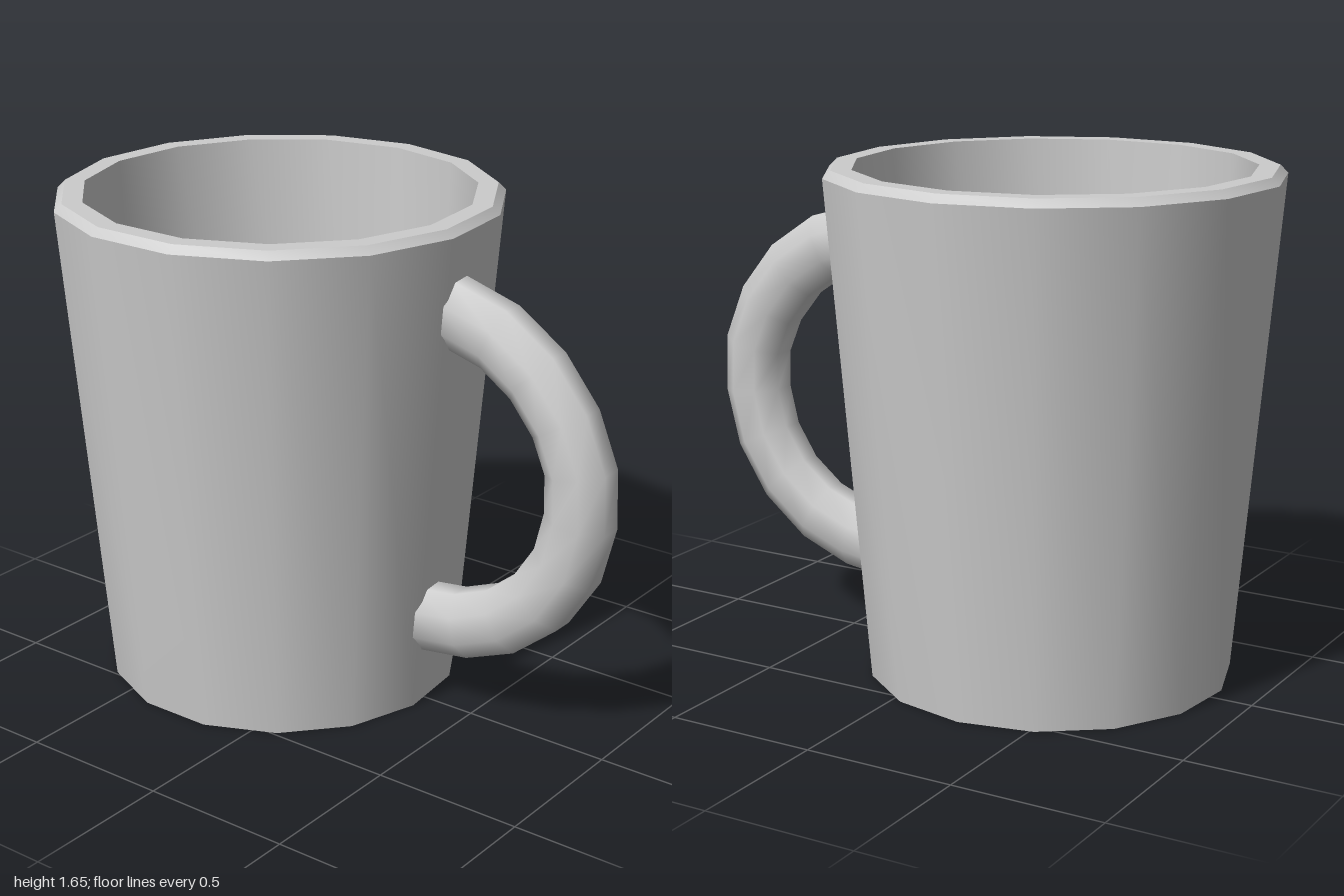
import * as THREE from 'three';
import { toCreasedNormals } from 'three/addons/utils/BufferGeometryUtils.js';

const CX = -0.008; // mug axis
const CZ = -0.273;

const material = new THREE.MeshStandardMaterial({ color: 0xcccccc, side: THREE.DoubleSide });

// Tapered cup with a bevelled rim, hollow inside
function cupGeometry() {
  const profile = [
    [0, 0], [0.594, 0], [0.731, 1.63], [0.706, 1.655],
    [0.64, 1.655], [0.57, 0.1], [0, 0.1],
  ].map(([r, y]) => new THREE.Vector2(r, y));
  return toCreasedNormals(new THREE.LatheGeometry(profile, 15, Math.PI / 2), 0.6);
}

// Eight-sided oval tube swept along a C-shaped path of [z, y] points
function handleGeometry() {
  const path = [
    [0.39, 1.38], [0.58, 1.325], [0.72, 1.23], [0.825, 1.1], [0.885, 0.955], [0.89, 0.795],
    [0.85, 0.635], [0.76, 0.495], [0.63, 0.39], [0.48, 0.33], [0.31, 0.308],
  ];
  const sides = 8, halfWidth = 0.097, halfDepth = 0.118;
  const positions = [], indices = [];
  path.forEach(([z, y], i) => {
    const before = path[Math.max(i - 1, 0)];
    const after = path[Math.min(i + 1, path.length - 1)];
    const t = new THREE.Vector2(after[0] - before[0], after[1] - before[1]).normalize();
    for (let j = 0; j < sides; j++) {
      const a = ((j + 0.5) / sides) * Math.PI * 2;
      const d = halfDepth * Math.sin(a);
      positions.push(halfWidth * Math.cos(a), y + t.x * d, z - t.y * d);
      if (i === path.length - 1) continue;
      const k = (j + 1) % sides;
      const p = i * sides + j, q = i * sides + k;
      indices.push(p, q, q + sides, p, q + sides, p + sides);
    }
  });
  const geometry = new THREE.BufferGeometry();
  geometry.setAttribute('position', new THREE.Float32BufferAttribute(positions, 3));
  geometry.setIndex(indices);
  geometry.computeVertexNormals();
  return geometry;
}

export function createModel() {
  const mug = new THREE.Group();
  mug.name = 'mug';

  const cup = new THREE.Mesh(cupGeometry(), material);
  cup.name = 'cup';
  cup.position.set(CX, 0, CZ);

  const handle = new THREE.Mesh(handleGeometry(), material);
  handle.name = 'handle';
  handle.position.x = CX;

  mug.add(cup, handle);
  return mug;
}
